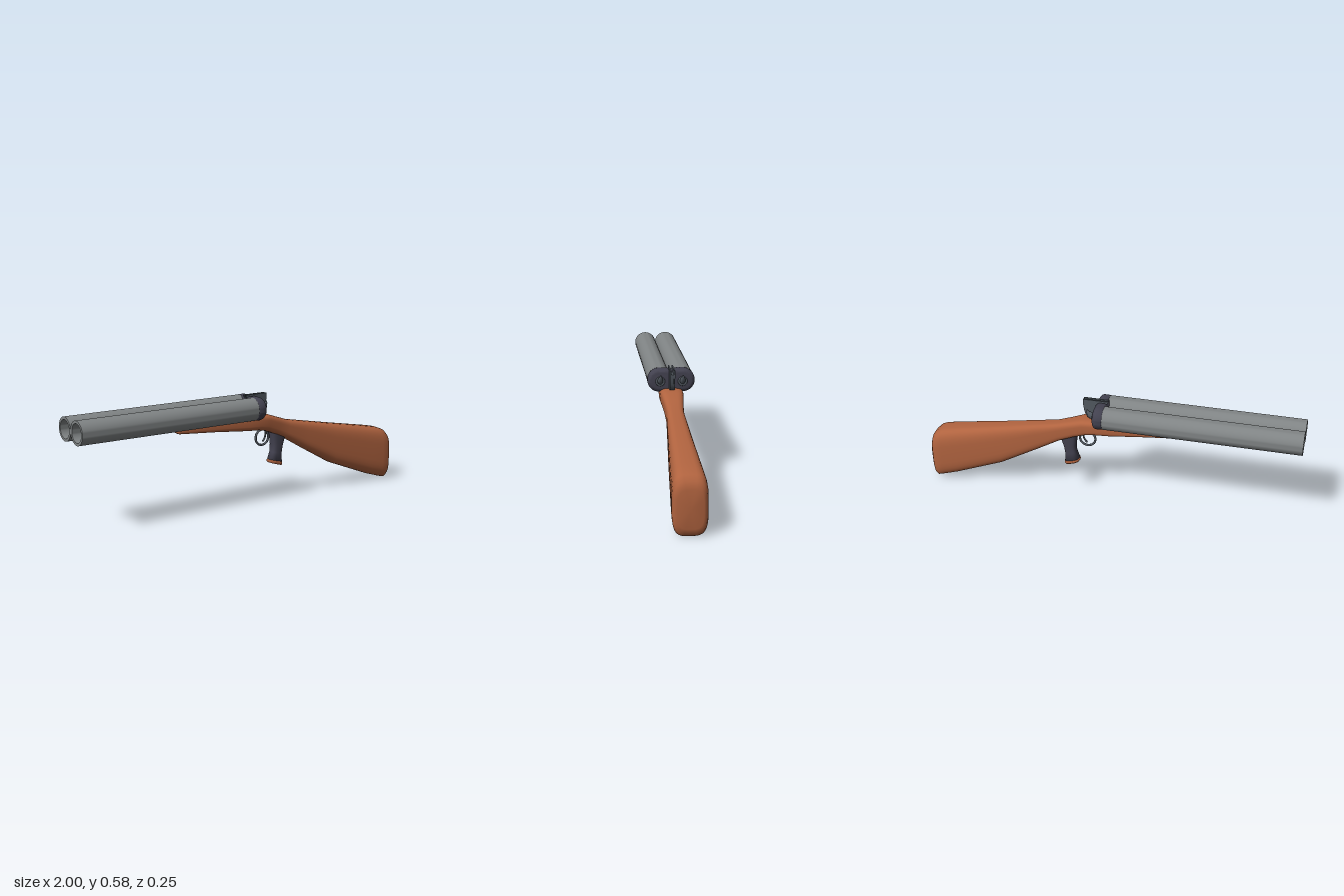
import * as THREE from 'three';
import { toCreasedNormals } from 'three/addons/utils/BufferGeometryUtils.js';

const material = (color) => new THREE.MeshStandardMaterial({ color });

// Skin over rounded sections; each is [ax, ay, bx, by, halfWidth], spanning a to b in the xy plane
function loft(sections, power, sides = 32) {
  const pos = [], index = [];
  const soft = (v) => Math.sign(v) * Math.abs(v) ** (2 / power);
  for (const [ax, ay, bx, by, hw] of sections) {
    for (let j = 0; j < sides; j++) {
      const t = (j / sides) * Math.PI * 2;
      const u = -soft(Math.sin(t)) / 2;
      pos.push((ax + bx) / 2 + (bx - ax) * u, (ay + by) / 2 + (by - ay) * u, soft(Math.cos(t)) * hw);
    }
  }
  for (let i = 0; i < sections.length - 1; i++) {
    for (let j = 0; j < sides; j++) {
      const k = (j + 1) % sides;
      const a = i * sides + j, b = i * sides + k;
      index.push(a, b, a + sides, b, b + sides, a + sides);
    }
  }
  // End caps
  const last = sections.length - 1;
  for (const i of [0, last]) {
    const [ax, ay, bx, by] = sections[i];
    const c = pos.length / 3;
    pos.push((ax + bx) / 2, (ay + by) / 2, 0);
    for (let j = 0; j < sides; j++) {
      const a = i * sides + j, b = i * sides + ((j + 1) % sides);
      if (i === 0) index.push(c, b, a);
      else index.push(c, a, b);
    }
  }
  const g = new THREE.BufferGeometry();
  g.setAttribute('position', new THREE.Float32BufferAttribute(pos, 3));
  g.setIndex(index);
  g.computeVertexNormals();
  return g;
}

export function createModel() {
  const group = new THREE.Group();
  const wood = material(0xb0633f);
  const steel = material(0x808485);
  const dark = material(0x42414f);
  const iron = material(0x515860);
  const add = (name, geometry, mat, x = 0, y = 0, z = 0) => {
    const m = new THREE.Mesh(geometry, mat);
    m.name = name;
    m.position.set(x, y, z);
    group.add(m);
    return m;
  };

  // Fore-end, neck and butt in one piece
  add('stock', loft([
    [-0.415, 0.428, -0.415, 0.452, 0.02],
    [-0.405, 0.422, -0.405, 0.458, 0.029],
    [-0.2, 0.408, -0.2, 0.465, 0.045],
    [0, 0.39, 0, 0.47, 0.06],
    [0.08, 0.385, 0.09, 0.47, 0.061],
    [0.13, 0.375, 0.15, 0.462, 0.057],
    [0.195, 0.35, 0.22, 0.438, 0.049],
    [0.275, 0.315, 0.29, 0.415, 0.045],
    [0.4, 0.243, 0.41, 0.393, 0.052],
    [0.6, 0.132, 0.6, 0.358, 0.064],
    [0.86, 0.033, 0.86, 0.312, 0.079],
    [0.935, 0.01, 0.93, 0.298, 0.083],
    [0.97, 0, 0.96, 0.286, 0.083],
    [0.984, 0.012, 0.985, 0.262, 0.076],
    [0.993, 0.04, 0.997, 0.225, 0.06],
  ], 3.6, 40), wood);

  // Two hollow barrels
  const bore = [[0, -0.02], [0.0605, -0.02], [0.0605, 1], [0.047, 1], [0.047, 0], [0, 0]];
  const barrel = toCreasedNormals(
    new THREE.LatheGeometry(bore.map(([r, y]) => new THREE.Vector2(r, y)), 40).rotateZ(Math.PI / 2), 0.6);
  for (const s of [1, -1]) add(s > 0 ? 'leftBarrel' : 'rightBarrel', barrel, steel, 0, 0.51, s * 0.0605);

  // Breech block with two rounded lobes
  const bevel = 0.022, r = 0.061 - bevel, cz = 0.062;
  const lobes = new THREE.Shape();
  lobes.moveTo(0, -r + 0.012);
  lobes.quadraticCurveTo(0.015, -r, 0.035, -r);
  lobes.lineTo(cz, -r);
  lobes.absarc(cz, 0, r, -Math.PI / 2, Math.PI / 2, false);
  lobes.lineTo(0.035, r);
  lobes.quadraticCurveTo(0.015, r, 0, r - 0.012);
  lobes.quadraticCurveTo(-0.015, r, -0.035, r);
  lobes.lineTo(-cz, r);
  lobes.absarc(-cz, 0, r, Math.PI / 2, Math.PI * 1.5, false);
  lobes.lineTo(-0.035, -r);
  lobes.quadraticCurveTo(-0.015, -r, 0, -r + 0.012);
  const breech = new THREE.ExtrudeGeometry(lobes, {
    depth: 0.02, bevelThickness: 0.022, bevelSize: bevel, bevelSegments: 6, curveSegments: 20,
  }).rotateY(Math.PI / 2);
  add('breech', toCreasedNormals(breech, 0.7), dark, 0.032, 0.51, 0);

  // Central fork: two outer plates around a lower web
  const plate = new THREE.Shape();
  plate.moveTo(0.008, 0.578);
  plate.lineTo(0.145, 0.578);
  plate.lineTo(0.143, 0.545);
  plate.quadraticCurveTo(0.135, 0.475, 0.105, 0.467);
  plate.lineTo(0.03, 0.46);
  plate.lineTo(0.03, 0.54);
  plate.closePath();
  const side = new THREE.ExtrudeGeometry(plate, { depth: 0.007, bevelEnabled: false, curveSegments: 10 });
  add('leftForkPlate', side, iron, 0, 0, 0.006);
  add('rightForkPlate', side, iron, 0, 0, -0.013);
  const web = new THREE.Shape();
  web.moveTo(0.02, 0.555);
  web.lineTo(0.138, 0.555);
  web.quadraticCurveTo(0.13, 0.475, 0.1, 0.467);
  web.lineTo(0.02, 0.46);
  add('forkWeb', new THREE.ExtrudeGeometry(web, { depth: 0.012, bevelEnabled: false }), iron, 0, 0, -0.006);

  // Hammers, each rising out of an oval collar
  const hammer = loft([
    [0.05, 0.492, 0.05, 0.526, 0.014],
    [0.088, 0.494, 0.076, 0.53, 0.014],
    [0.109, 0.508, 0.089, 0.533, 0.012],
    [0.114, 0.535, 0.1, 0.538, 0.007],
    [0.112, 0.545, 0.106, 0.546, 0.003],
  ], 2.2, 16);
  const collar = new THREE.TorusGeometry(0.019, 0.006, 10, 28).rotateY(Math.PI / 2);
  for (const s of [1, -1]) {
    const label = s > 0 ? 'left' : 'right';
    add(label + 'Hammer', hammer, iron, 0, 0, s * 0.058);
    add(label + 'HammerCollar', collar, iron, 0.076, 0.507, s * 0.058);
  }

  // Hand grip with a wooden foot
  add('grip', loft([
    [0.172, 0.39, 0.275, 0.365, 0.03],
    [0.18, 0.345, 0.27, 0.323, 0.03],
    [0.188, 0.29, 0.254, 0.275, 0.029],
    [0.186, 0.25, 0.247, 0.235, 0.029],
    [0.17, 0.207, 0.25, 0.187, 0.031],
  ], 2.8, 28), dark);
  add('gripFoot', loft([
    [0.169, 0.21, 0.251, 0.19, 0.032],
    [0.167, 0.2, 0.252, 0.177, 0.033],
    [0.172, 0.192, 0.248, 0.17, 0.029],
  ], 2.8, 28), wood);

  // Trigger guard and trigger
  add('triggerGuard', new THREE.TorusGeometry(0.042, 0.006, 10, 40), iron, 0.125, 0.337, 0);
  const curve = new THREE.CatmullRomCurve3([
    [0.145, 0.385], [0.148, 0.355], [0.142, 0.33], [0.128, 0.312],
  ].map(([x, y]) => new THREE.Vector3(x, y, 0)));
  add('trigger', new THREE.TubeGeometry(curve, 14, 0.005, 8, false), iron);

  return group;
}
